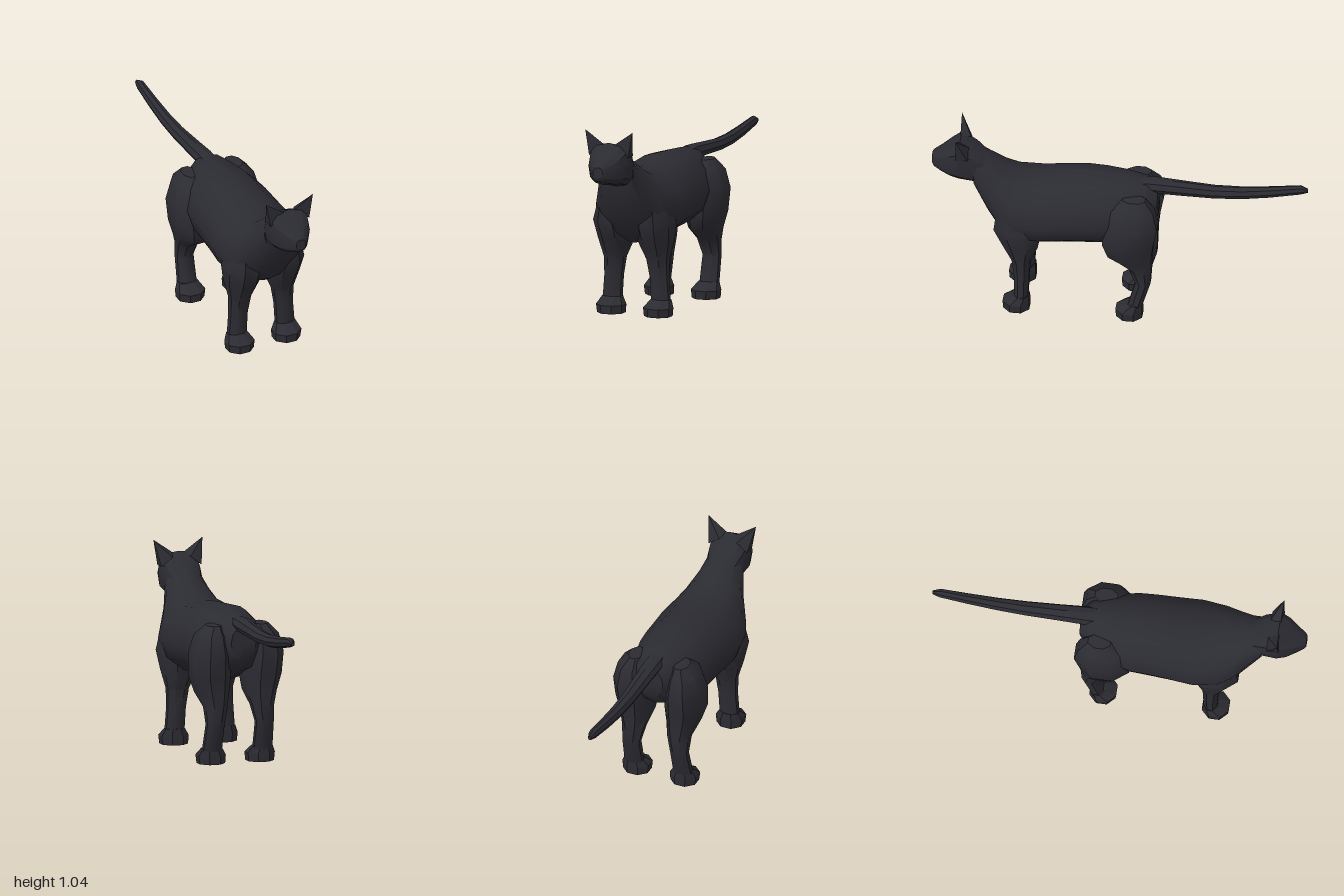
import * as THREE from 'three';
import { toCreasedNormals } from 'three/addons/utils/BufferGeometryUtils.js';
import { ConvexGeometry } from 'three/addons/geometries/ConvexGeometry.js';

const fur = new THREE.MeshStandardMaterial({ name: 'charcoal fur', color: 0x2b2b32 });
const V = (x, y, z) => new THREE.Vector3(x, y, z);

// Skin a list of equal-length rings, close both ends and face outwards
function loft(rings, crease = 0.6) {
  const n = rings[0].length, tris = [];
  const mid = (r) => r.reduce((s, p) => s.add(p), V(0, 0, 0)).divideScalar(n);
  const first = rings[0], last = rings[rings.length - 1];
  const m0 = mid(first), m1 = mid(last);
  for (let i = 0; i < n; i++) {
    const j = (i + 1) % n;
    for (let k = 0; k < rings.length - 1; k++) {
      const a = rings[k], b = rings[k + 1];
      tris.push([a[i], a[j], b[j]], [a[i], b[j], b[i]]);
    }
    tris.push([m0, first[j], first[i]], [m1, last[i], last[j]]);
  }
  const volume = tris.reduce((s, [a, b, c]) => s + a.dot(b.clone().cross(c)), 0);
  const points = tris.flatMap(([a, b, c]) => (volume < 0 ? [a, c, b] : [a, b, c]));
  return toCreasedNormals(new THREE.BufferGeometry().setFromPoints(points), crease);
}

const pow = (v, p) => Math.sign(v) * Math.abs(v) ** p;

// Upright ring at z: lowest y, highest y, half width, height of widest point
function slice([z, low, high, w, wide = (low + high) / 2, p = 1], n) {
  return Array.from({ length: n }, (_, i) => {
    const a = (i / n) * Math.PI * 2, s = pow(Math.sin(a), p);
    return V(w * pow(Math.cos(a), p), wide + s * (s > 0 ? high - wide : wide - low), z);
  });
}

// Level ring at y: inner x, outer x, back z, front z, mirrored by side
function level([y, x0, x1, z0, z1], side, n = 8) {
  const k = 1 / Math.cos(Math.PI / n);
  return Array.from({ length: n }, (_, i) => {
    const a = ((i + 0.5) / n) * Math.PI * 2;
    return V(side * ((x0 + x1) / 2 + (k * Math.cos(a) * (x1 - x0)) / 2), y,
      (z0 + z1) / 2 + (k * Math.sin(a) * (z1 - z0)) / 2);
  });
}

const TORSO = [
  [-0.205, 0.57, 0.75, 0.07], [-0.15, 0.5, 0.79, 0.13, 0.64],
  [-0.03, 0.45, 0.803, 0.19, 0.6], [0.08, 0.41, 0.812, 0.215, 0.59],
  [0.17, 0.405, 0.815, 0.22, 0.59], [0.3, 0.4, 0.8, 0.228, 0.58],
  [0.42, 0.39, 0.782, 0.238, 0.57], [0.55, 0.385, 0.79, 0.218, 0.57],
  [0.62, 0.43, 0.825, 0.185, 0.6], [0.7, 0.55, 0.88, 0.135, 0.7],
  [0.77, 0.69, 0.925, 0.105, 0.8],
];

const HEAD = [
  [0.7, 0.7, 0.87, 0.08, 0.8, 0.8], [0.77, 0.725, 0.93, 0.104, 0.84, 0.75],
  [0.85, 0.745, 0.97, 0.115, 0.86, 0.65], [0.9, 0.752, 0.935, 0.1, 0.85, 0.7],
  [0.95, 0.765, 0.9, 0.068, 0.835, 0.8], [0.99, 0.785, 0.875, 0.04, 0.83, 0.8],
  [1.0, 0.805, 0.862, 0.028, 0.832, 0.8],
];

const TAIL = [
  [-0.1, 0.73, 0.79, 0.05], [-0.18, 0.715, 0.797, 0.052], [-0.32, 0.71, 0.787, 0.046],
  [-0.5, 0.706, 0.775, 0.04], [-0.65, 0.713, 0.78, 0.035], [-0.8, 0.735, 0.797, 0.03],
  [-0.96, 0.768, 0.82, 0.024], [-1.0, 0.78, 0.803, 0.01],
];

const FRONT_LEG = [
  [0.62, 0.06, 0.19, 0.44, 0.64], [0.5, 0.02, 0.22, 0.41, 0.655],
  [0.4, 0.025, 0.205, 0.42, 0.61], [0.3, 0.066, 0.182, 0.462, 0.56],
  [0.2, 0.083, 0.182, 0.467, 0.547], [0.07, 0.09, 0.192, 0.472, 0.545],
];

const HIND_LEG = [
  [0.745, 0.09, 0.17, -0.15, -0.03], [0.69, 0.065, 0.222, -0.195, 0.03],
  [0.59, 0.045, 0.248, -0.218, 0.065], [0.47, 0.04, 0.243, -0.195, 0.075],
  [0.38, 0.052, 0.215, -0.185, 0.045], [0.31, 0.07, 0.19, -0.185, -0.06],
  [0.22, 0.09, 0.185, -0.18, -0.1], [0.07, 0.09, 0.192, -0.135, -0.06],
];

// Paw footprint, placed by its back edge
const pawRings = (z) => [
  [0, 0.066, 0.207, z, z + 0.138], [0.045, 0.062, 0.212, z, z + 0.142],
  [0.086, 0.088, 0.194, z + 0.004, z + 0.082],
];

export function createModel() {
  const model = new THREE.Group();
  model.name = 'cat';
  const add = (name, geometry) => {
    const mesh = new THREE.Mesh(geometry, fur);
    mesh.name = name;
    model.add(mesh);
  };

  add('torso', loft(TORSO.map((s) => slice(s, 12)), 0.7));
  add('head', loft(HEAD.map((s) => slice(s, 12)), 0.45));
  add('tail', loft(TAIL.map((s) => slice(s, 8))));

  for (const [side, label] of [[1, 'left'], [-1, 'right']]) {
    const limb = (name, rings, crease) =>
      add(`${label} ${name}`, loft(rings.map((r) => level(r, side)), crease));
    limb('front leg', FRONT_LEG, 0.7);
    limb('hind leg', HIND_LEG, 0.7);
    limb('front paw', pawRings(0.464), 0.3);
    limb('hind paw', pawRings(-0.137), 0.3);

    // Ear: a leaning pyramid on the corner of the skull
    add(`${label} ear`, new ConvexGeometry([
      V(side * 0.03, 0.962, 0.855), V(side * 0.113, 0.9, 0.865),
      V(side * 0.112, 0.9, 0.8), V(side * 0.05, 0.945, 0.8),
      V(side * 0.137, 1.036, 0.86),
    ]));
  }
  return model;
}
